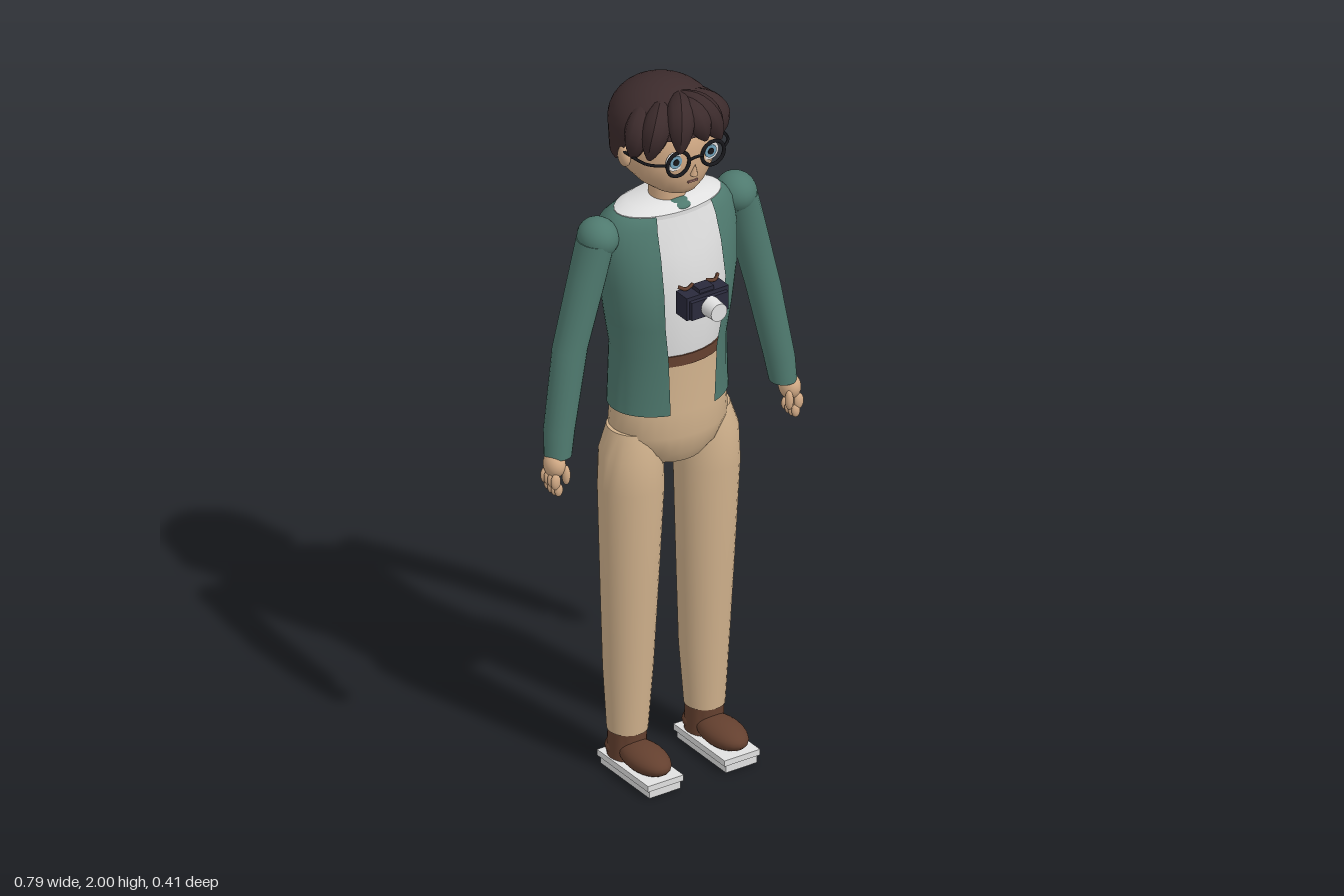
import * as THREE from 'three';
import { toCreasedNormals } from 'three/addons/utils/BufferGeometryUtils.js';

const mat = (name, color, side = THREE.FrontSide) => {
  const m = new THREE.MeshStandardMaterial({ color, side });
  m.name = name;
  return m;
};

// Skin through elliptical rings [y, cx, cz, rx, rz, gap], listed bottom to top.
// A gap (half width) leaves the front open; otherwise the ends are capped.
function loft(rows, seg = 28) {
  const pos = [], idx = [], n = seg + 1;
  for (const [y, cx, cz, rx, rz, gap = 0] of rows) {
    const g = Math.asin(gap / rx);
    for (let i = 0; i < n; i++) {
      const a = g + (i / seg) * (Math.PI * 2 - 2 * g);
      pos.push(cx + rx * Math.sin(a), y, cz + rz * Math.cos(a));
    }
  }
  for (let j = 0; j < rows.length - 1; j++) for (let i = 0; i < seg; i++) {
    const p = j * n + i;
    idx.push(p, p + 1, p + 1 + n, p, p + 1 + n, p + n);
  }
  if (!rows[0][5]) {
    const top = (rows.length - 1) * n, c = pos.length / 3;
    for (const r of [rows[0], rows[rows.length - 1]]) pos.push(r[1], r[0], r[2]);
    for (let i = 0; i < seg; i++) idx.push(c, i + 1, i, c + 1, top + i, top + i + 1);
  }
  const geo = new THREE.BufferGeometry();
  geo.setAttribute('position', new THREE.Float32BufferAttribute(pos, 3));
  geo.setIndex(idx);
  return toCreasedNormals(geo, 0.85);
}

// Tube along points, its radius following r(t)
function taperTube(points, r, seg = 12, sides = 10) {
  const curve = new THREE.CatmullRomCurve3(points.map(p => new THREE.Vector3(...p)));
  const geo = new THREE.TubeGeometry(curve, seg, 1, sides);
  const pos = geo.attributes.position, v = new THREE.Vector3();
  for (let i = 0; i < pos.count; i++) {
    const t = Math.floor(i / (sides + 1)) / seg, c = curve.getPointAt(t);
    v.fromBufferAttribute(pos, i).sub(c).multiplyScalar(r(t)).add(c);
    pos.setXYZ(i, v.x, v.y, v.z);
  }
  geo.computeVertexNormals();
  return geo;
}

// Hair shell: a dome whose lower edge is high over the face and low at the nape
function hairCap() {
  const seg = 40, rings = 14, pos = [], idx = [], n = seg + 1, mid = 1.88, top = 1.995;
  for (let j = 0; j <= rings; j++) for (let i = 0; i < n; i++) {
    const a = (i / seg) * Math.PI * 2, c = Math.cos(a);
    const low = 1.79 + 0.1 * THREE.MathUtils.smoothstep(c, -0.15, 0.4);
    const t = j / rings;
    const y = t < 0.3 ? low + (mid + 0.015 - low) * (t / 0.3)
      : mid + (top - mid) * Math.sin(0.13 + (t - 0.3) / 0.7 * (Math.PI / 2 - 0.13));
    const h = Math.max(0, (y - mid) / (top - mid));
    const k = Math.sqrt(Math.max(0, 1 - h * h));
    const under = 1 - 0.05 * Math.max(0, (mid - y) / 0.09);
    pos.push(0.14 * k * under * Math.sin(a), y, -0.052 + (c > 0 ? 0.148 : 0.153) * k * c);
  }
  for (let j = 0; j < rings; j++) for (let i = 0; i < seg; i++) {
    const p = j * n + i;
    idx.push(p, p + 1, p + 1 + n, p, p + 1 + n, p + n);
  }
  const geo = new THREE.BufferGeometry();
  geo.setAttribute('position', new THREE.Float32BufferAttribute(pos, 3));
  geo.setIndex(idx);
  return toCreasedNormals(geo, 0.9);
}

export function createModel() {
  const root = new THREE.Group();
  root.name = 'figure';
  const skin = mat('skin', 0xd3ab86), tan = mat('trousers', 0xd0b18c);
  const green = mat('jacket', 0x4f7a6f, THREE.DoubleSide), white = mat('white', 0xe0e0e0);
  const hair = mat('hair', 0x3c2b2c, THREE.DoubleSide), brown = mat('leather', 0x64402f);
  const navy = mat('camera body', 0x2a2a3c), black = mat('frames', 0x17171b);
  const blue = mat('iris', 0x6f9fb8), lip = mat('lip', 0xa0706a);

  const add = (name, geo, m, x = 0, y = 0, z = 0, parent = root) => {
    const mesh = new THREE.Mesh(geo, m);
    mesh.name = name;
    mesh.position.set(x, y, z);
    parent.add(mesh);
    return mesh;
  };
  const ball = (name, m, x, y, z, sx, sy, sz) => {
    const b = add(name, new THREE.SphereGeometry(1, 22, 14), m, x, y, z);
    b.scale.set(sx, sy, sz);
    return b;
  };
  const disc = (name, r, d, m, x, y, z, r2 = r) =>
    add(name, new THREE.CylinderGeometry(r, r2, d, 24).rotateX(Math.PI / 2), m, x, y, z);
  const box = (name, w, h, d, m, x, y, z) => add(name, new THREE.BoxGeometry(w, h, d), m, x, y, z);

  // Torso
  add('hips', loft([[0.92, 0, -0.032, 0.1, 0.09], [0.955, 0, -0.032, 0.138, 0.112],
    [1.01, 0, -0.032, 0.168, 0.124], [1.08, 0, -0.032, 0.163, 0.12], [1.22, 0, -0.032, 0.15, 0.118]]), tan);
  add('belt', loft([[1.22, 0, -0.032, 0.152, 0.121], [1.25, 0, -0.032, 0.152, 0.121]]), brown);
  add('shirt', loft([[1.25, 0, -0.032, 0.147, 0.117], [1.42, 0, -0.032, 0.174, 0.132],
    [1.55, 0, -0.04, 0.185, 0.114], [1.62, 0, -0.036, 0.175, 0.094], [1.655, 0, -0.033, 0.15, 0.083]]), white);
  add('jacket', loft([[1.08, 0, -0.033, 0.17, 0.126, 0.068], [1.25, 0, -0.032, 0.162, 0.13, 0.075],
    [1.34, 0, -0.032, 0.177, 0.14, 0.088], [1.45, 0, -0.032, 0.193, 0.144, 0.095],
    [1.55, 0, -0.042, 0.203, 0.132, 0.093], [1.62, 0, -0.043, 0.195, 0.11, 0.09],
    [1.65, 0, -0.034, 0.165, 0.092, 0.085], [1.658, 0, -0.033, 0.15, 0.084, 0.085]], 40), green);
  add('collar', loft([[1.645, 0, -0.033, 0.157, 0.088], [1.657, 0, -0.033, 0.157, 0.088],
    [1.672, 0, -0.033, 0.12, 0.07]]), white);
  ball('neckline', green, 0, 1.66, 0.02, 0.035, 0.016, 0.032);

  // Head
  add('neck', new THREE.CylinderGeometry(0.048, 0.05, 0.13, 24), skin, 0, 1.705, -0.034);
  add('head', loft([[1.702, 0, 0, 0.03, 0.04], [1.715, 0, -0.012, 0.06, 0.075], [1.735, 0, -0.025, 0.088, 0.1],
    [1.765, 0, -0.038, 0.113, 0.123], [1.8, 0, -0.045, 0.127, 0.136], [1.85, 0, -0.047, 0.131, 0.138],
    [1.9, 0, -0.048, 0.126, 0.132], [1.95, 0, -0.048, 0.09, 0.095], [1.98, 0, -0.048, 0.03, 0.03]], 32), skin);
  const nose = add('nose', new THREE.ConeGeometry(0.011, 0.035, 10), skin, 0, 1.795, 0.092);
  nose.rotation.x = 0.25;
  box('mouth', 0.03, 0.005, 0.006, lip, 0, 1.757, 0.083);

  // Hair shell and fringe locks
  add('hair', hairCap(), hair);
  const lock = t => 0.036 * Math.pow(Math.sin(Math.PI * (0.12 + 0.86 * t)), 0.7) + 0.001;
  [
    [[0.01, 1.968, 0.005], [-0.03, 1.945, 0.075], [-0.05, 1.86, 0.1]],
    [[0.01, 1.968, 0.005], [0.045, 1.945, 0.065], [0.085, 1.855, 0.085]],
    [[0.0, 1.962, 0.02], [0.012, 1.94, 0.078], [0.03, 1.875, 0.1]],
    [[-0.04, 1.96, 0.0], [-0.085, 1.92, 0.045], [-0.11, 1.835, 0.045]],
    [[0.05, 1.96, 0.0], [0.1, 1.915, 0.035], [0.122, 1.835, 0.03]],
    [[-0.07, 1.95, -0.03], [-0.112, 1.9, 0.0], [-0.13, 1.825, 0.0]],
    [[0.07, 1.95, -0.03], [0.11, 1.9, -0.005], [0.13, 1.825, 0.0]],
  ].forEach(p => add('fringeLock', taperTube(p, lock), hair));

  // Glasses bridge
  add('glassesBridge', taperTube([[-0.02, 1.833, 0.1], [0, 1.838, 0.104], [0.02, 1.833, 0.1]], () => 0.004), black);

  for (const s of [-1, 1]) {
    // Eye, glasses rim, temple and ear
    const ex = s * 0.054, ey = 1.829;
    disc('eyeWhite', 0.026, 0.008, white, ex, ey, 0.08);
    disc('iris', 0.018, 0.008, blue, ex, ey, 0.083);
    disc('pupil', 0.009, 0.008, black, ex, ey, 0.085);
    add('glassesRim', new THREE.TorusGeometry(0.034, 0.005, 8, 28), black, ex, ey, 0.097);
    add('glassesTemple', taperTube([[s * 0.087, 1.833, 0.096], [s * 0.125, 1.833, 0.06], [s * 0.137, 1.833, -0.03]],
      () => 0.004), black);
    ball('ear', skin, s * 0.131, 1.815, -0.038, 0.014, 0.03, 0.023);

    // Arm
    ball('shoulder', green, s * 0.215, 1.603, -0.035, 0.053, 0.054, 0.06);
    add('sleeve', loft([[1.01, s * 0.35, -0.02, 0.036, 0.039], [1.08, s * 0.342, -0.025, 0.041, 0.042],
      [1.3, s * 0.3, -0.038, 0.047, 0.046], [1.5, s * 0.247, -0.036, 0.05, 0.052],
      [1.6, s * 0.222, -0.035, 0.048, 0.057]], 20), green);

    // Hand
    ball('palm', skin, s * 0.366, 0.988, -0.012, 0.028, 0.036, 0.034);
    for (let i = 0; i < 4; i++) {
      const z = -0.036 + i * 0.016;
      ball('knuckle', skin, s * 0.378, 0.95, z, 0.014, 0.023, 0.01);
      ball('fingertip', skin, s * 0.369, 0.918 + 0.004 * Math.abs(i - 1.5), z, 0.012, 0.019, 0.009);
    }
    ball('thumb', skin, s * 0.347, 0.962, 0.014, 0.011, 0.028, 0.012);

    // Leg
    add('trouserLeg', loft([[0.12, s * 0.12, -0.04, 0.054, 0.055], [0.3, s * 0.118, -0.04, 0.066, 0.067],
      [0.55, s * 0.118, -0.034, 0.077, 0.075], [0.85, s * 0.118, -0.027, 0.088, 0.087],
      [0.95, s * 0.118, -0.028, 0.083, 0.086], [1.02, s * 0.113, -0.03, 0.065, 0.07]]), tan);

    // Shoe and sole
    add('shoeCuff', loft([[0.04, s * 0.12, -0.043, 0.05, 0.055], [0.125, s * 0.12, -0.04, 0.051, 0.052]]), brown);
    ball('shoeToe', brown, s * 0.12, 0.066, 0.042, 0.053, 0.036, 0.094);
    ball('shoeHeel', brown, s * 0.12, 0.062, -0.055, 0.052, 0.03, 0.047);
    box('upperSole', 0.11, 0.017, 0.235, white, s * 0.119, 0.031, 0.018);
    box('lowerSole', 0.096, 0.022, 0.226, white, s * 0.119, 0.011, 0.018);

    // Camera strap end
    add('cameraStrap', taperTube([[s * 0.062, 1.472, 0.106], [s * 0.045, 1.466, 0.118], [s * 0.02, 1.47, 0.112]],
      () => 0.005), brown);
  }

  // Camera
  box('cameraBody', 0.13, 0.066, 0.05, navy, 0, 1.426, 0.127);
  box('cameraFront', 0.114, 0.052, 0.013, navy, 0, 1.422, 0.157);
  box('viewfinder', 0.045, 0.016, 0.036, navy, 0, 1.462, 0.13);
  disc('lens', 0.025, 0.044, white, 0, 1.422, 0.183, 0.028);
  return root;
}
